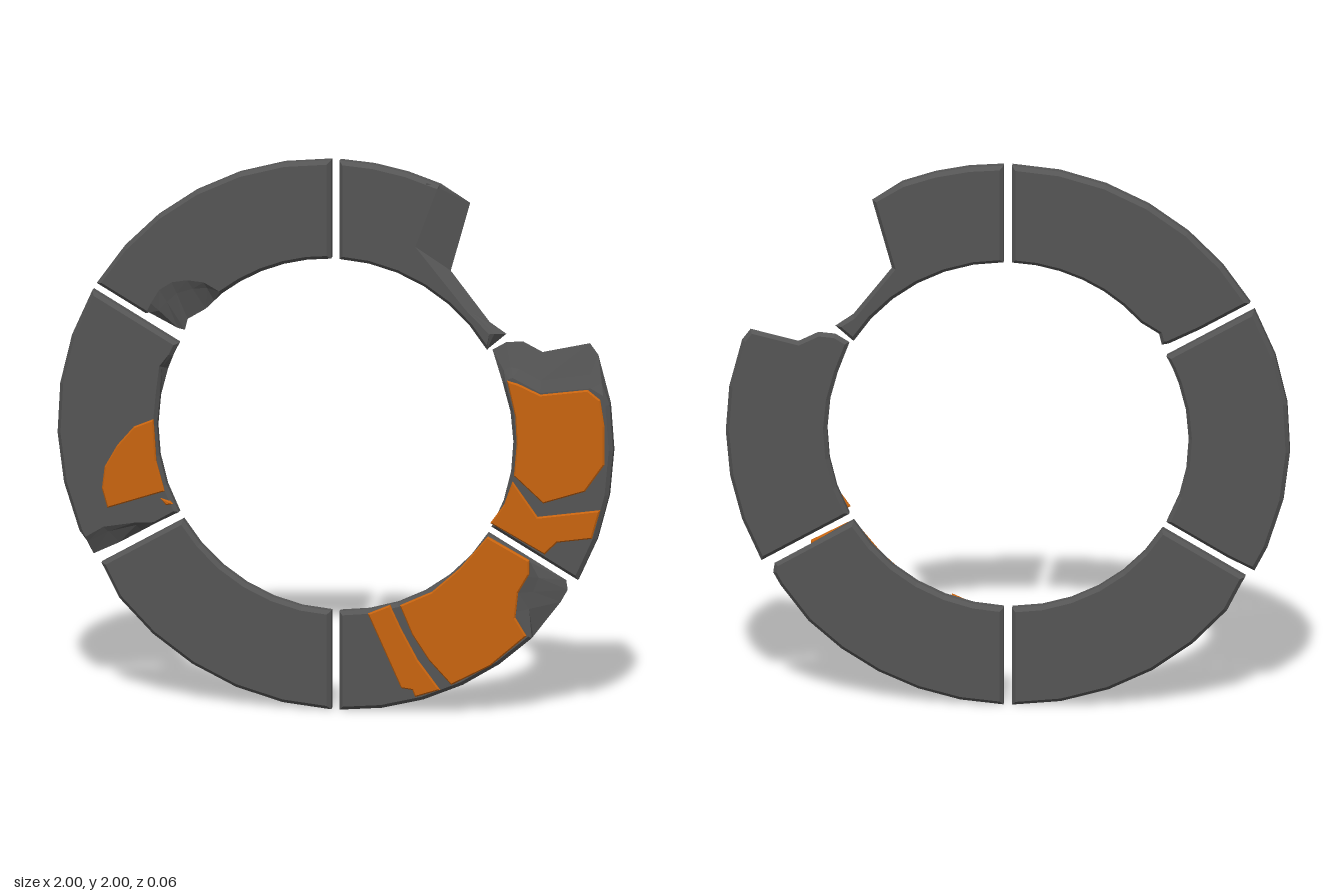
import * as THREE from 'three';

const R = 0.998, r = 0.64, GAP = 0.015;
const rad = THREE.MathUtils.degToRad;

// points along an arc of the ring, whose centre is at (0, 1)
function arc(radius, from, to, n) {
  return Array.from({ length: n + 1 }, (_, i) => {
    const a = rad(from + (to - from) * i / n);
    return [radius * Math.cos(a), 1 + radius * Math.sin(a)];
  });
}
// angle taken up by half a gap at each radius
const go = THREE.MathUtils.radToDeg(Math.asin(GAP / R));
const gi = THREE.MathUtils.radToDeg(Math.asin(GAP / r));

// moves every corner of a counter-clockwise outline inwards
function inset(pts, d) {
  const n = pts.length;
  return pts.map((p, i) => {
    const a = pts[(i + n - 1) % n], b = pts[(i + 1) % n];
    const u = new THREE.Vector2(p[0] - a[0], p[1] - a[1]).normalize();
    const v = new THREE.Vector2(b[0] - p[0], b[1] - p[1]).normalize();
    const m = new THREE.Vector2(-u.y - v.y, u.x + v.x);
    const s = d / Math.max(0.5, 1 + u.dot(v));
    return [p[0] + m.x * s, p[1] + m.y * s];
  });
}

// bevelled plate; a point [x, y, fx, fy] slopes to (fx, fy) on the front
function slab(pts, z0, z1, bevel, bevelZ) {
  const inner = inset(pts, bevel);
  const front = pts.map((p, i) => (p.length > 2 ? [p[2], p[3]] : inner[i]));
  const shoulder = pts.map((p) => (p.length > 2
    ? [p[0] + (p[2] - p[0]) * 0.7, p[1] + (p[3] - p[1]) * 0.7] : p));
  const rings = [[inner, z0], [pts, z0 + bevelZ], [shoulder, z1 - bevelZ], [front, z1]];
  const n = pts.length, pos = [], index = [];
  rings.forEach(([ring, z]) => ring.forEach((p) => pos.push(p[0], p[1], z)));
  for (let k = 0; k < 3; k++) {
    for (let i = 0; i < n; i++) {
      const a = k * n + i, b = k * n + (i + 1) % n;
      index.push(a, b, b + n, a, b + n, a + n);
    }
  }
  const cap = (ring, base, flip) => {
    const contour = ring.map((p) => new THREE.Vector2(p[0], p[1]));
    THREE.ShapeUtils.triangulateShape(contour, []).forEach(([a, b, c]) => {
      index.push(base + a, base + (flip ? c : b), base + (flip ? b : c));
    });
  };
  cap(inner, 0, true);
  cap(front, 3 * n, false);
  const indexed = new THREE.BufferGeometry();
  indexed.setAttribute('position', new THREE.Float32BufferAttribute(pos, 3));
  indexed.setIndex(index);
  const geo = indexed.toNonIndexed();
  geo.computeVertexNormals();
  return geo;
}

export function createModel() {
  const group = new THREE.Group();
  const grey = new THREE.MeshStandardMaterial({ color: 0x555555, flatShading: true });
  const orange = new THREE.MeshStandardMaterial({ color: 0xc8640f, flatShading: true });

  // six ring segments, counter-clockwise, with their broken edges
  const segments = {
    upperLeftSegment: [
      [0.48, 1.86, 0.33, 1.935], ...arc(R, 68, 90 - go, 3),
      ...arc(r, 90 - gi, 31.5, 6),
      [0.61, 1.39, 0.555, 1.395], [0.55, 1.43, 0.47, 1.48], [0.41, 1.61, 0.29, 1.7],
    ],
    upperRightSegment: [
      ...arc(R, 90 + go, 150 - go, 6),
      [-0.68, 1.41], [-0.57, 1.355, -0.66, 1.45], [-0.545, 1.35, -0.63, 1.5],
      [-0.535, 1.39, -0.585, 1.53], [-0.47, 1.43, -0.53, 1.54],
      [-0.44, 1.46, -0.47, 1.535], [-0.41, 1.49, -0.415, 1.505],
      ...arc(r, 122, 90 + gi, 4),
    ],
    rightSegment: [
      ...arc(R, 150 + go, 203, 5),
      [-0.873, 0.522, -0.895, 0.59], [-0.78, 0.567, -0.83, 0.63],
      [-0.7, 0.613, -0.72, 0.65], [-0.645, 0.645, -0.65, 0.655],
      ...arc(r, 210 - gi, 170, 4), [-0.605, 1.208, -0.63, 1.222],
      ...arc(r, 156, 150 + gi, 1),
    ],
    lowerRightSegment: [
      [-0.84, 0.497], [-0.825, 0.47], ...arc(R, 219, 270 - go, 5),
      ...arc(r, 270 - gi, 210 + gi, 6),
    ],
    lowerLeftSegment: [
      ...arc(R, 270 + go, 315, 5),
      [0.805, 0.425, 0.65, 0.39], [0.83, 0.47, 0.66, 0.46],
      [0.825, 0.505, 0.69, 0.52], [0.7, 0.578, 0.7, 0.568],
      ...arc(r, 330 - gi, 270 + gi, 6),
    ],
    leftSegment: [
      ...arc(R, -30 + go, 9, 4),
      [0.94, 1.33, 0.965, 1.19], [0.91, 1.37, 0.92, 1.215],
      [0.74, 1.33, 0.74, 1.19], [0.67, 1.365, 0.66, 1.23],
      [0.61, 1.36, 0.64, 1.24], [0.56, 1.33, 0.625, 1.235],
      ...arc(r, 20, -30 + gi, 5),
    ],
  };

  // raised orange panels on the front
  const panels = {
    leftUpperPanel: [
      [0.62, 1.23], [0.65, 1.1], [0.655, 1], [0.645, 0.885], [0.75, 0.79],
      [0.9, 0.84], [0.97, 0.94], [0.97, 1.08], [0.955, 1.175], [0.91, 1.21],
      [0.74, 1.185], [0.66, 1.22],
    ],
    leftLowerPanel: [
      [0.64, 0.865], [0.61, 0.78], [0.56, 0.71], [0.755, 0.605], [0.8, 0.65],
      [0.925, 0.67], [0.955, 0.775], [0.73, 0.74],
    ],
    lowerLeftPanel: [
      [0.55, 0.66], [0.45, 0.54], [0.35, 0.45], [0.235, 0.395], [0.28, 0.29],
      [0.34, 0.2], [0.42, 0.115], [0.56, 0.19], [0.69, 0.305], [0.65, 0.37],
      [0.66, 0.46], [0.7, 0.53], [0.7, 0.58],
    ],
    stripePanel: [
      [0.12, 0.36], [0.24, 0.095], [0.28, 0.09], [0.29, 0.065], [0.38, 0.095],
      [0.3, 0.2], [0.24, 0.31], [0.2, 0.395],
    ],
    rightPanel: [
      [-0.65, 1.03], [-0.72, 1], [-0.78, 0.93], [-0.825, 0.85], [-0.835, 0.77],
      [-0.815, 0.7], [-0.61, 0.77], [-0.64, 0.88],
    ],
    rightChip: [[-0.625, 0.745], [-0.605, 0.72], [-0.58, 0.725], [-0.59, 0.735]],
  };

  const add = (name, geo, material) => {
    const mesh = new THREE.Mesh(geo, material);
    mesh.name = name;
    group.add(mesh);
  };
  for (const [name, pts] of Object.entries(segments)) {
    add(name, slab(pts, -0.031, 0.021, 0.013, 0.013), grey);
  }
  for (const [name, pts] of Object.entries(panels)) {
    add(name, slab(pts, 0.012, 0.029, 0.005, 0.005), orange);
  }
  return group;
}
